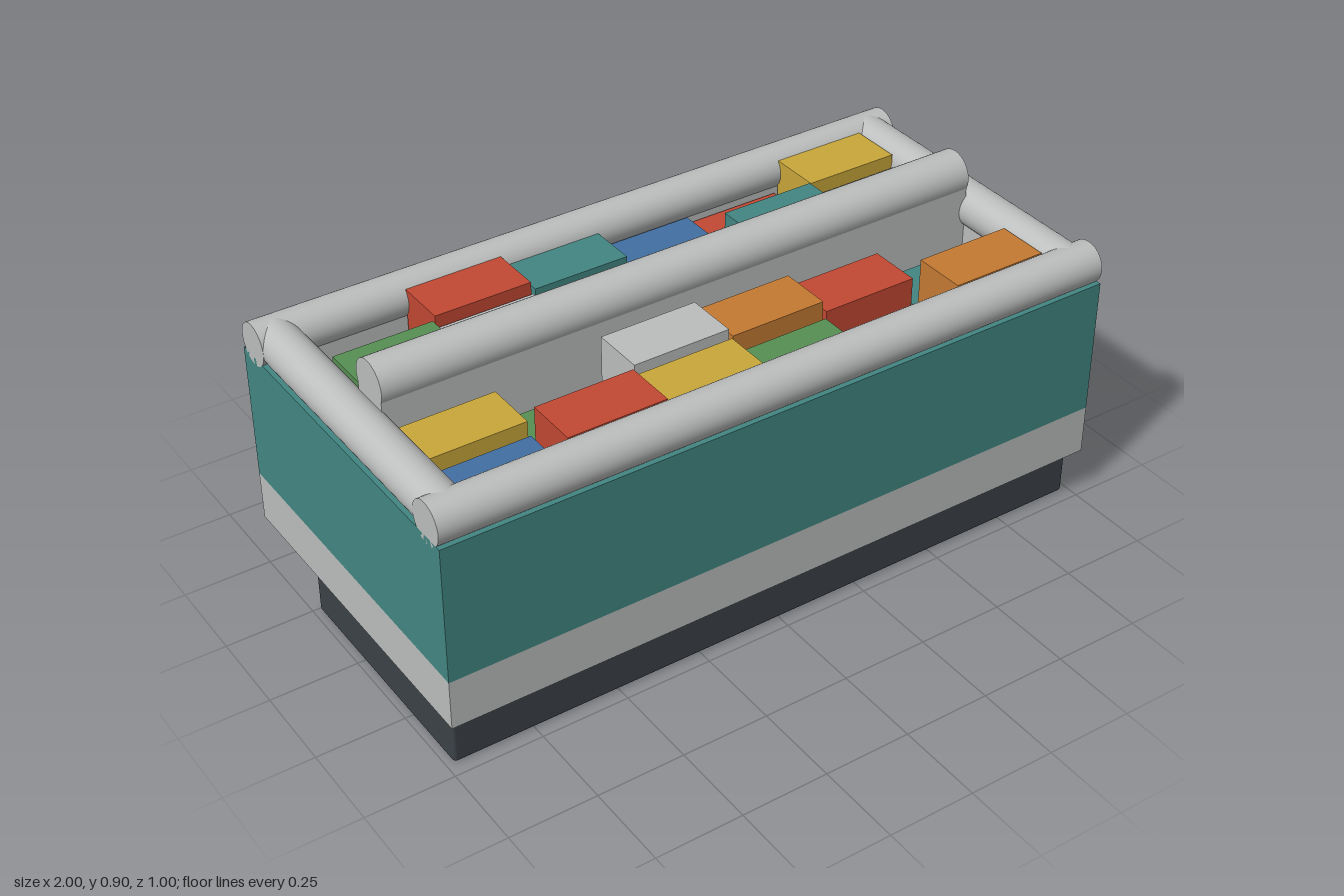
import * as THREE from 'three';
import { RoundedBoxGeometry } from 'three/addons/geometries/RoundedBoxGeometry.js';

const material = (name, color, side = THREE.FrontSide) => {
  const m = new THREE.MeshStandardMaterial({ color, side });
  m.name = name;
  return m;
};

export function createModel() {
  const model = new THREE.Group();
  model.name = 'islandFreezer';

  const mats = {
    grey: material('light grey', 0xbcbebd, THREE.DoubleSide),
    teal: material('teal', 0x428682),
    slate: material('slate', 0x3c4248),
    red: material('red', 0xc24833),
    orange: material('orange', 0xc47a33),
    yellow: material('yellow', 0xc9a73a),
    blue: material('blue', 0x416fa3),
    green: material('green', 0x578f54),
    black: material('black', 0x222324, THREE.DoubleSide),
    copper: material('copper', 0xc67c35, THREE.DoubleSide),
  };

  const add = (name, geometry, mat, x = 0, y = 0, z = 0) => {
    const mesh = new THREE.Mesh(geometry, mats[mat]);
    mesh.name = name;
    mesh.position.set(x, y, z);
    model.add(mesh);
    return mesh;
  };
  // box given by its lower and upper limits
  const block = (name, mat, x0, x1, y0, y1, z0, z1, radius = 0) => {
    const size = [x1 - x0, y1 - y0, z1 - z0];
    const geometry = radius
      ? new RoundedBoxGeometry(...size, 2, radius)
      : new THREE.BoxGeometry(...size);
    return add(name, geometry, mat, (x0 + x1) / 2, (y0 + y1) / 2, (z0 + z1) / 2);
  };
  // cylinder along one axis
  const rod = (name, mat, axis, radius, length, x, y, z, open = false) => {
    const geometry = new THREE.CylinderGeometry(radius, radius, length, 40, 1, open);
    if (axis === 'x') geometry.rotateZ(-Math.PI / 2);
    if (axis === 'z') geometry.rotateX(Math.PI / 2);
    return add(name, geometry, mat, x, y, z);
  };
  // rectangular wall ring, half sizes outside and inside
  const ring = (name, mat, ox, oz, ix, iz, y0, y1) => {
    const rect = (path, a, b) => path.moveTo(-a, -b).lineTo(a, -b).lineTo(a, b).lineTo(-a, b).closePath();
    const shape = rect(new THREE.Shape(), ox, oz);
    shape.holes.push(rect(new THREE.Path(), ix, iz));
    const geometry = new THREE.ExtrudeGeometry(shape, { depth: y1 - y0, bevelEnabled: false });
    geometry.rotateX(-Math.PI / 2);
    return add(name, geometry, mat, 0, y0, 0);
  };
  // bent pipe through straight runs with rounded corners
  const pipe = (name, mat, points, radius, bend) => {
    const p = points.map((q) => new THREE.Vector3(...q));
    const path = new THREE.CurvePath();
    let from = p[0];
    for (let i = 1; i < p.length - 1; i++) {
      const a = p[i].clone().add(p[i - 1].clone().sub(p[i]).setLength(bend));
      const b = p[i].clone().add(p[i + 1].clone().sub(p[i]).setLength(bend));
      if (from.distanceTo(a) > 1e-4) path.add(new THREE.LineCurve3(from, a));
      path.add(new THREE.QuadraticBezierCurve3(a, p[i], b));
      from = b;
    }
    path.add(new THREE.LineCurve3(from, p[p.length - 1]));
    return add(name, new THREE.TubeGeometry(path, 80, radius, 20), mat);
  };

  // tub
  block('baseBand', 'grey', -1, 1, 0.155, 0.3, -0.5, 0.5);
  ring('outerWall', 'teal', 1, 0.5, 0.985, 0.485, 0.3, 0.7);
  ring('innerLiner', 'grey', 0.985, 0.485, 0.9, 0.4, 0.3, 0.7);
  block('tubFloor', 'grey', -0.9, 0.9, 0.3, 0.4, -0.4, 0.4);
  block('divider', 'grey', -0.9, 0.9, 0.4, 0.82, -0.058, 0.058);

  // bumper rails
  for (const s of [-1, 1]) {
    rod('longRail', 'grey', 'x', 0.06, 2, 0, 0.74, s * 0.44);
    rod('endRail', 'grey', 'z', 0.06, 0.88, s * 0.94, 0.74, 0);
  }
  rod('centreRail', 'grey', 'x', 0.064, 1.8, 0, 0.836, 0);

  // plinth panels
  block('frontPlinth', 'slate', -0.98, 0.98, 0, 0.155, 0.43, 0.46, 0.01);
  block('backPlinth', 'slate', -0.7, 0.45, 0, 0.155, -0.5, -0.48, 0.009);
  for (const s of [-1, 1]) {
    const x = s * 0.965;
    block('endPlinth', 'slate', x - 0.015, x + 0.015, 0, 0.155, -0.247, 0.46, 0.01);
  }

  // goods: colour and top height for each cell, from back row to front row
  const rows = [
    [-0.317, ['orange', 0.63], ['red', 0.78], ['teal', 0.755], ['blue', 0.7], ['red', 0.68], ['yellow', 0.78]],
    [-0.155, ['green', 0.775], ['grey', 0.75], ['orange', 0.72], ['red', 0.68], ['teal', 0.79], ['blue', 0.745]],
    [0.15, ['yellow', 0.735], ['green', 0.64], ['grey', 0.78], ['orange', 0.755], ['red', 0.72], ['teal', 0.63]],
    [0.315, ['blue', 0.7], ['red', 0.78], ['yellow', 0.76], ['green', 0.71], ['grey', 0.62], ['orange', 0.78]],
  ];
  for (const [z, ...cells] of rows) {
    cells.forEach(([colour, top], i) => {
      const x = (i - 2.5) * 0.296;
      block('goodsBox', colour, x - 0.142, x + 0.142, 0.4, top, z - 0.076, z + 0.076);
    });
  }

  // drain with trap and outlet
  const dx = -0.87;
  pipe('drainTrap', 'grey', [
    [dx, 0.155, -0.285], [dx, 0.034, -0.285], [dx, 0.034, -0.352],
    [dx, 0.1, -0.352], [dx, 0.1, -0.48],
  ], 0.029, 0.033);
  rod('drainCollar', 'grey', 'y', 0.036, 0.024, dx, 0.118, -0.285);
  rod('drainNut', 'grey', 'y', 0.036, 0.012, dx, 0.149, -0.285);
  add('drainOutletLip', new THREE.TorusGeometry(0.032, 0.007, 10, 28), 'grey', dx, 0.1, -0.478);

  // refrigerant lines, bent down from the underside
  pipe('thinCopperLine', 'copper', [[0.6, 0.155, -0.363], [0.6, 0.065, -0.363], [1, 0.065, -0.363]], 0.011, 0.025);
  rod('thinLineBore', 'black', 'x', 0.0085, 0.01, 0.992, 0.065, -0.363);
  pipe('insulatedLine', 'black', [[0.6, 0.155, -0.435], [0.6, 0.065, -0.435], [0.97, 0.065, -0.435]], 0.031, 0.035);
  rod('insulationEnd', 'black', 'x', 0.0305, 0.01, 0.965, 0.065, -0.435);
  rod('copperCore', 'copper', 'x', 0.013, 0.05, 0.975, 0.065, -0.435, true);
  rod('coreBore', 'black', 'x', 0.0115, 0.01, 0.992, 0.065, -0.435);

  return model;
}
